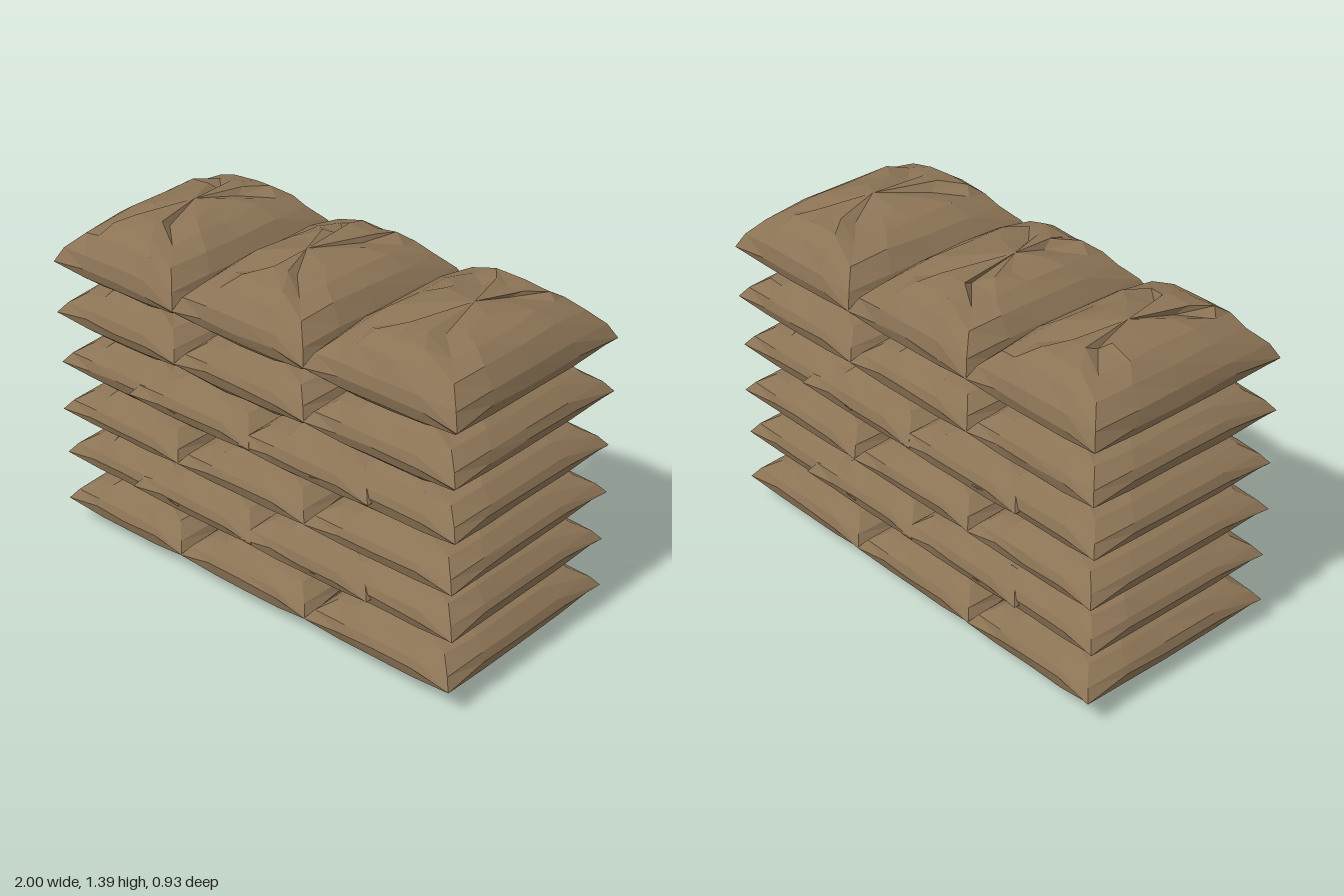
import * as THREE from 'three';

// Small seeded generator for the uneven cloth
function seeded(seed) {
  let s = seed * 7919 + 17;
  return () => {
    s = (s * 16807) % 2147483647;
    return (s / 2147483647) * 2 - 1;
  };
}

// Stations along each side of a ring, from one corner towards the next
const STATIONS = [-1, -0.5, 0.08, 0.55];
// Each ring: inset from the seam, and height as a share of the bulge (below / above the seam)
const RINGS = [
  [0.22, -1], [0.13, -0.93], [0.075, -0.7], [0.025, -0.3],
  [0, 0],
  [0.025, 0.33], [0.075, 0.68], [0.14, 0.88], [0.23, 0.97],
];

// A pillow made of rectangular rings that shrink above and below a sharp seam
function bagGeometry(width, depth, up, down, seed) {
  const rand = seeded(seed);
  const pos = [], index = [];
  const n = STATIONS.length * 4;
  pos.push(0, -down, 0);
  for (const [inset, level] of RINGS) {
    const hw = width / 2 - inset, hd = depth / 2 - inset;
    const wobble = inset * 0.1;
    for (let side = 0; side < 4; side++) {
      for (const t of STATIONS) {
        const corner = t === -1;
        const bow = corner ? inset * 0.22 : level === 0 ? 0.012 : 0;
        const along = side % 2 ? hd : hw, out = (side % 2 ? hw : hd) - bow;
        const a = t * (along - (corner ? bow : 0)) + (corner ? 0 : rand() * (0.01 + wobble));
        const o = out + rand() * wobble * 0.6;
        const [x, z] = [[a, -o], [o, a], [-a, o], [-o, -a]][side];
        let y = level * (level > 0 ? up : down);
        if (corner) y *= 0.86;
        else if (level === 0) y += 0.012 + rand() * 0.008;
        else y *= 1 + Math.min(0, rand() * 0.07);
        pos.push(x, y, z);
      }
    }
  }
  pos.push(rand() * 0.04, up, rand() * 0.06);
  const last = pos.length / 3 - 1;
  for (let i = 0; i < n; i++) {
    const j = (i + 1) % n;
    index.push(0, 1 + i, 1 + j);
    for (let k = 0; k < RINGS.length - 1; k++) {
      const a = 1 + k * n + i, b = 1 + k * n + j;
      index.push(a, b + n, b, a, a + n, b + n);
    }
    const top = 1 + (RINGS.length - 1) * n;
    index.push(last, top + j, top + i);
  }
  const geo = new THREE.BufferGeometry();
  geo.setAttribute('position', new THREE.Float32BufferAttribute(pos, 3));
  geo.setIndex(index);
  const flat = geo.toNonIndexed();
  flat.computeVertexNormals();
  return flat;
}

export function createModel() {
  const model = new THREE.Group();
  model.name = 'sandbagWall';
  const cloth = new THREE.MeshStandardMaterial({ color: 0x8b7355, flatShading: true });

  // Left and right ends of the bags in the two kinds of course
  const straight = [[-1, -0.35], [-0.355, 0.305], [0.3, 1]];
  const staggered = [[-1, -0.37], [-0.61, 0.03], [-0.03, 0.61], [0.32, 1]];
  // Seam height, bulge above and below, bag layout
  const courses = [
    [0.12, 0.14, 0.115, straight],
    [0.335, 0.14, 0.1, staggered],
    [0.54, 0.135, 0.095, straight],
    [0.75, 0.14, 0.105, staggered],
    [0.975, 0.145, 0.11, straight],
    [1.195, 0.205, 0.105, straight],
  ];

  courses.forEach(([y, up, down, layout], row) => {
    const course = new THREE.Group();
    course.name = `course${row + 1}`;
    layout.forEach(([x0, x1], i) => {
      const depth = 0.93 - (layout === staggered && i % 3 === 0 ? 0.02 : 0);
      const bag = new THREE.Mesh(bagGeometry(x1 - x0, depth, up, down, row * 5 + i + 1), cloth);
      bag.name = `sandbag${i + 1}`;
      bag.position.set((x0 + x1) / 2, y, 0);
      course.add(bag);
    });
    model.add(course);
  });

  // Stand the lowest point on the ground
  const box = new THREE.Box3().setFromObject(model);
  model.children.forEach((c) => { c.position.y -= box.min.y; });
  return model;
}
